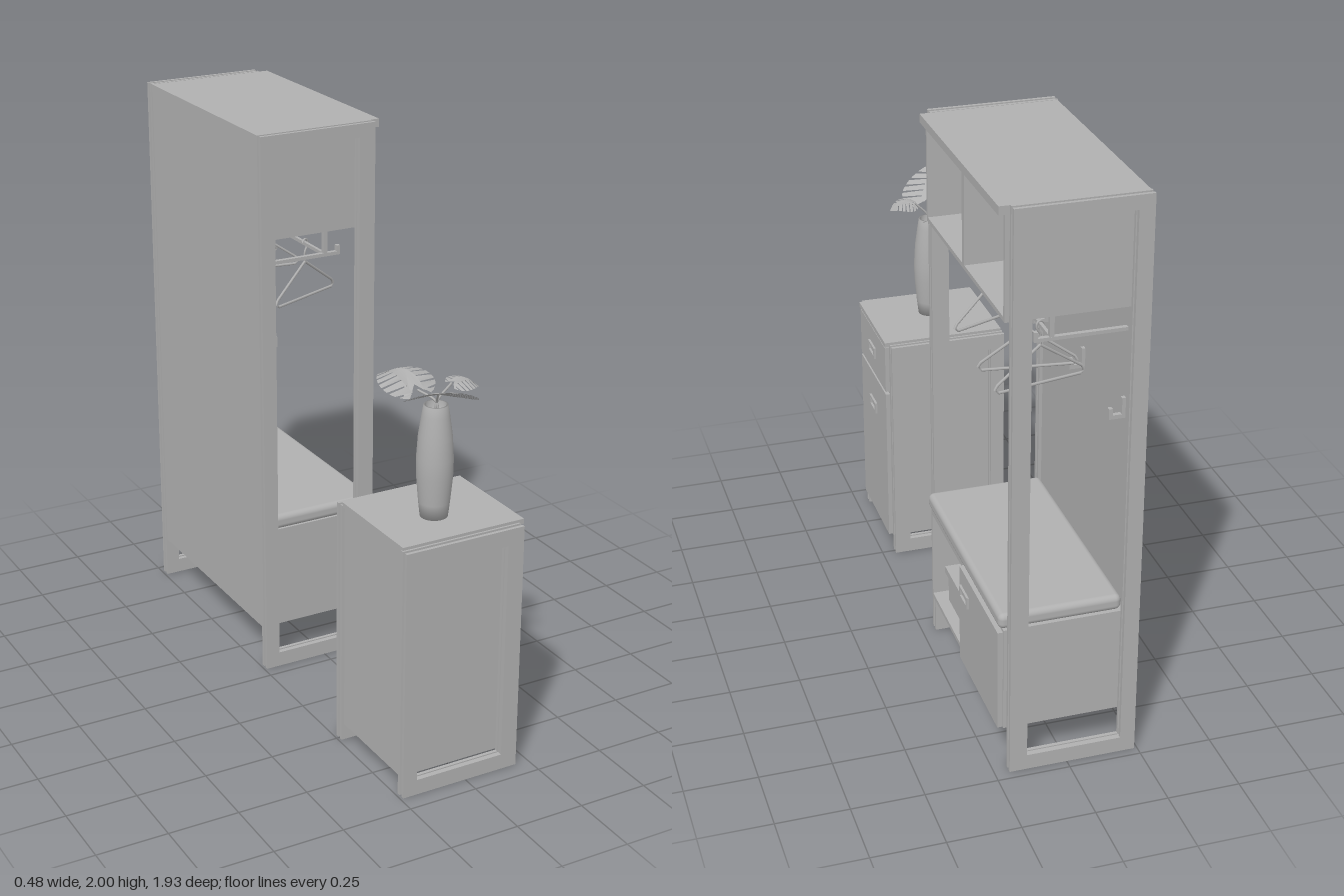
import * as THREE from 'three';
import { RoundedBoxGeometry } from 'three/addons/geometries/RoundedBoxGeometry.js';

const grey = new THREE.MeshStandardMaterial({ color: 0xb0b0b0 });
const greyThin = grey.clone();
greyThin.side = THREE.DoubleSide;
grey.name = 'grey';
greyThin.name = 'grey thin';

function add(parent, name, geometry, material = grey) {
  const mesh = new THREE.Mesh(geometry, material);
  mesh.name = name;
  parent.add(mesh);
  return mesh;
}

// Box given by its limits on each axis
function box(parent, name, x0, x1, y0, y1, z0, z1) {
  const mesh = add(parent, name, new THREE.BoxGeometry(x1 - x0, y1 - y0, z1 - z0));
  mesh.position.set((x0 + x1) / 2, (y0 + y1) / 2, (z0 + z1) / 2);
  return mesh;
}

function rectangle(PathType, x0, x1, y0, y1) {
  const p = new PathType();
  p.moveTo(x0, y0);
  p.lineTo(x1, y0);
  p.lineTo(x1, y1);
  p.lineTo(x0, y1);
  p.closePath();
  return p;
}

// Rectangular side frame: two layers with a shallow groove between them
function sideFrame(parent, height, holeTop, z0, z1) {
  const layer = (z1 - z0) / 3;
  for (let i = 0; i < 3; i++) {
    const inset = i === 1 ? 0.008 : 0;
    const shape = rectangle(THREE.Shape, -0.24 + inset, 0.2 - inset, inset, height - inset);
    shape.holes.push(rectangle(THREE.Path, -0.188 - inset / 2, 0.14 + inset / 2, 0.055 - inset / 2, holeTop + inset / 2));
    const frame = add(parent, 'sideFrame', new THREE.ExtrudeGeometry(shape, { depth: layer, bevelEnabled: false }));
    frame.position.z = z0 + i * layer;
  }
}

// Small rectangular pull with an opening, on a +x face
function pull(parent, x, y, z) {
  const shape = rectangle(THREE.Shape, -0.045, 0.045, -0.022, 0.022);
  shape.holes.push(rectangle(THREE.Path, -0.034, 0.034, -0.012, 0.012));
  const mesh = add(parent, 'pull', new THREE.ExtrudeGeometry(shape, { depth: 0.008, bevelEnabled: false }));
  mesh.rotation.y = Math.PI / 2;
  mesh.position.set(x, y, z);
}

function wire(parent, name, points, radius, curved) {
  const v = points.map((p) => new THREE.Vector3(...p));
  let path;
  if (curved) path = new THREE.CatmullRomCurve3(v);
  else {
    path = new THREE.CurvePath();
    for (let i = 1; i < v.length; i++) path.add(new THREE.LineCurve3(v[i - 1], v[i]));
  }
  return add(parent, name, new THREE.TubeGeometry(path, 40, radius, 6), greyThin);
}

function hanger(parent, z, angle) {
  const g = new THREE.Group();
  g.name = 'hanger';
  wire(g, 'hangerHook', [[0, -0.075, 0], [0, -0.035, 0], [0.013, -0.012, 0], [0.012, 0.006, 0], [0, 0.013, 0], [-0.013, 0.003, 0]], 0.004, true);
  wire(g, 'hangerBody', [[0, -0.07, 0], [0.155, -0.178, 0], [0.162, -0.192, 0], [0.15, -0.202, 0], [-0.15, -0.202, 0],
    [-0.162, -0.192, 0], [-0.155, -0.178, 0], [0, -0.07, 0]], 0.005, false);
  g.position.set(0.048, 1.53, z);
  g.rotation.y = angle;
  parent.add(g);
}

// Split leaf: lobed outline, then bent along its length and across its width
function leaf(parent, base, tip, halfWidth, arch, droop) {
  const a = new THREE.Vector3(...base), b = new THREE.Vector3(...tip);
  const along = b.clone().sub(a);
  const side = new THREE.Vector3(-along.z, 0, along.x).normalize();
  const lobes = 7, right = [[0.1, 0]];
  const width = (t) => Math.pow(Math.sin(Math.PI * Math.pow(Math.min(Math.max(t, 0), 1), 0.72)), 0.65);
  for (let i = 0; i < lobes; i++) {
    const t0 = -0.1 + i * 0.14;
    for (const k of [0.02, 0.065, 0.115]) {
      const t = t0 + k;
      right.push([t, Math.max(0.1, width((t + 0.12) / 1.1))]);
    }
    if (i < lobes - 1) {
      const w = width((t0 + 0.25) / 1.1);
      right.push([t0 + 0.07, 0.3 * w], [t0 + 0.09, 0.3 * w]);
    }
  }
  const outline = [...right, [1, 0], ...right.slice(1).reverse().map(([t, w]) => [t, -w])];
  const geometry = new THREE.ShapeGeometry(new THREE.Shape(outline.map(([t, w]) => new THREE.Vector2(t, w))));
  const pos = geometry.attributes.position, p = new THREE.Vector3();
  for (let i = 0; i < pos.count; i++) {
    const t = pos.getX(i), w = pos.getY(i);
    p.copy(a).addScaledVector(along, t).addScaledVector(side, w * halfWidth);
    p.y += arch * 4 * t * (1 - t) - droop * w * w;
    pos.setXYZ(i, p.x, p.y, p.z);
  }
  geometry.computeVertexNormals();
  add(parent, 'leaf', geometry, greyThin);
  wire(parent, 'leafStem', [[-0.024, 1.2, 0.74], [-0.022, 1.29, 0.74], base], 0.004, true);
}

function wardrobe() {
  const g = new THREE.Group();
  g.name = 'wardrobe';
  sideFrame(g, 2, 1.952, -0.085, -0.048);
  sideFrame(g, 2, 1.952, -0.968, -0.931);
  box(g, 'backPanel', -0.236, -0.2, 0.154, 1.97, -0.931, -0.085);

  // Open upper cubbies
  box(g, 'topBoard', -0.238, 0.235, 1.97, 1.999, -0.931, -0.085);
  box(g, 'cubbyFloor', -0.2, 0.215, 1.625, 1.64, -0.931, -0.085);
  for (const z of [-0.931, -0.517, -0.097]) box(g, 'cubbyUpright', -0.2, 0.215, 1.64, 1.97, z, z + (z === -0.517 ? 0.025 : 0.012));

  // Storage bench
  box(g, 'benchFloor', -0.2, 0.212, 0.154, 0.17, -0.931, -0.085);
  box(g, 'benchTop', -0.2, 0.212, 0.5, 0.535, -0.931, -0.085);
  for (const z of [-0.931, -0.505, -0.097]) box(g, 'benchUpright', -0.2, 0.212, 0.17, 0.5, z, z + 0.012);
  box(g, 'benchDoor', 0.212, 0.23, 0.156, 0.525, -0.925, -0.495);
  pull(g, 0.23, 0.44, -0.56);
  const cushion = add(g, 'cushion', new RoundedBoxGeometry(0.42, 0.055, 0.84, 4, 0.02));
  cushion.position.set(0.015, 0.56, -0.505);
  box(g, 'storageBox', -0.1, 0.17, 0.17, 0.28, -0.395, -0.155);
  box(g, 'storageBoxLid', -0.108, 0.18, 0.28, 0.306, -0.4, -0.145);

  // Rail brackets and wall hooks
  for (const z of [-0.132, -0.503, -0.876]) {
    const z0 = z - 0.008, z1 = z + 0.008;
    box(g, 'bracketDrop', 0.04, 0.055, 1.53, 1.626, z0, z1);
    box(g, 'bracketArm', -0.2, 0.105, 1.522, 1.534, z0, z1);
    box(g, 'bracketTip', 0.092, 0.105, 1.534, 1.555, z0, z1);
    box(g, 'hookPlate', -0.2, -0.188, 1.22, 1.29, z0, z1);
    box(g, 'hookArm', -0.19, -0.145, 1.22, 1.234, z0, z1);
    box(g, 'hookTip', -0.158, -0.145, 1.234, 1.257, z0, z1);
  }
  box(g, 'rail', 0.042, 0.053, 1.522, 1.534, -0.885, -0.125);

  hanger(g, -0.28, 0.4);
  hanger(g, -0.657, -0.13);
  hanger(g, -0.777, 0.2);
  return g;
}

function cabinet() {
  const g = new THREE.Group();
  g.name = 'cabinet';
  sideFrame(g, 0.888, 0.83, 0.481, 0.517);
  sideFrame(g, 0.888, 0.83, 0.899, 0.935);
  box(g, 'cabinetBody', -0.23, 0.2, 0.06, 0.88, 0.517, 0.899);
  box(g, 'cabinetTop', -0.236, 0.218, 0.88, 0.898, 0.512, 0.904);
  box(g, 'cabinetDoor', 0.2, 0.216, 0.065, 0.678, 0.522, 0.894);
  box(g, 'drawerFront', 0.2, 0.216, 0.69, 0.873, 0.522, 0.894);
  pull(g, 0.216, 0.785, 0.708);
  pull(g, 0.216, 0.55, 0.708);
  return g;
}

function plant() {
  const g = new THREE.Group();
  g.name = 'vaseWithLeaves';
  const profile = [[0, 0.898], [0.046, 0.898], [0.052, 0.95], [0.06, 1.04], [0.061, 1.1], [0.056, 1.18], [0.046, 1.25],
    [0.04, 1.285], [0.034, 1.285], [0.036, 1.25], [0, 1.2]];
  const vase = add(g, 'vase', new THREE.LatheGeometry(profile.map(([r, y]) => new THREE.Vector2(r, y)), 32), greyThin);
  vase.position.set(-0.024, 0, 0.74);
  leaf(g, [-0.05, 1.315, 0.67], [-0.085, 1.325, 0.505], 0.105, 0.035, 0.02);
  leaf(g, [-0.045, 1.335, 0.785], [-0.125, 1.42, 0.965], 0.12, 0.005, 0.025);
  leaf(g, [0.03, 1.35, 0.745], [0.125, 1.325, 0.755], 0.07, 0.02, 0.015);
  return g;
}

export function createModel() {
  const model = new THREE.Group();
  model.name = 'hallwayFurniture';
  model.add(wardrobe(), cabinet(), plant());
  return model;
}
